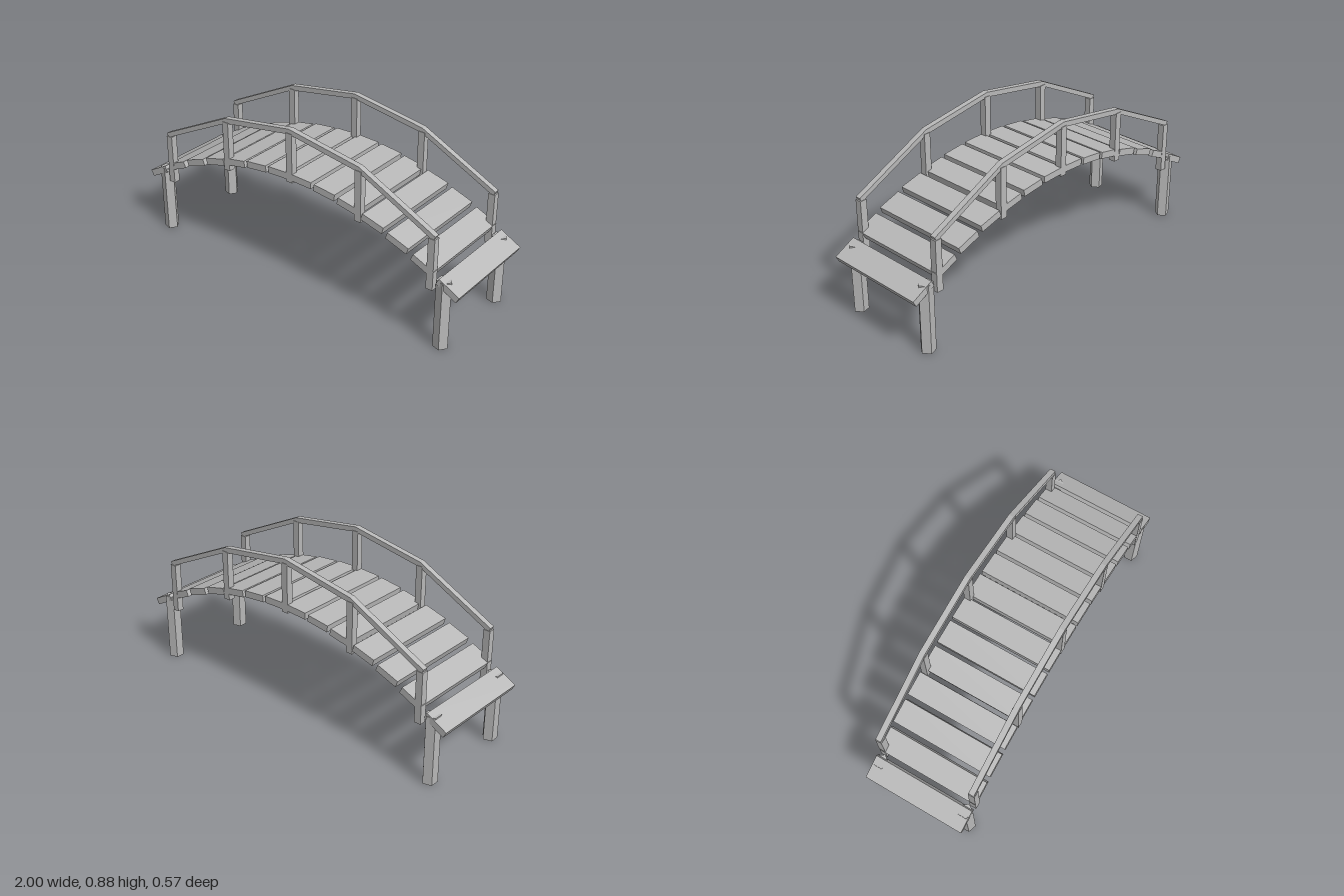
import * as THREE from 'three';

const wood = new THREE.MeshStandardMaterial({ color: 0xb8b8b8, flatShading: true });
wood.name = 'plain grey';

export function createModel() {
  const bridge = new THREE.Group();
  bridge.name = 'archedFootbridge';

  function add(name, geometry, x, y, z) {
    const mesh = new THREE.Mesh(geometry, wood);
    mesh.name = name;
    mesh.position.set(x, y, z);
    bridge.add(mesh);
    return mesh;
  }

  // Deck: planks along a parabola, each tilted a little less than the slope
  const plank = new THREE.BoxGeometry(0.127, 0.036, 0.558);
  for (let i = 0; i < 14; i++) {
    const x = (i - 6.5) * 0.1437;
    const y = 0.622 - 0.318 * x * x;
    add('plank', plank, x, y, 0).rotation.z = -THREE.MathUtils.degToRad(30 * x);
  }

  // Five-sided legs with one corner towards +x
  const leg = new THREE.CylinderGeometry(0.0394, 0.0394, 0.374, 5, 1, false, Math.PI / 2);
  for (const x of [-0.898, 0.897]) {
    for (const z of [-0.247, 0.247]) add('leg', leg, x, 0.187, z);
  }

  // Handrail outline: mitred bars running from post to post
  const top = [[-0.853, 0.601], [-0.42, 0.814], [0, 0.881], [0.42, 0.814], [0.853, 0.601]];
  const under = [[0.843, 0.577], [0.42, 0.786], [0, 0.854], [-0.42, 0.786], [-0.843, 0.577]];
  const outline = new THREE.Shape([...top, ...under].map(([x, y]) => new THREE.Vector2(x, y)));
  const rail = new THREE.ExtrudeGeometry(outline, { depth: 0.03, bevelEnabled: false });
  rail.translate(0, 0, -0.015);

  // Railings on both sides: posts given as [x, foot height, top height]
  const posts = [[-0.835, 0.312, 0.585], [-0.418, 0.522, 0.793], [0, 0.592, 0.858],
    [0.418, 0.522, 0.793], [0.835, 0.312, 0.585]];
  for (const side of [-1, 1]) {
    const z = side * 0.262;
    add('handrail', rail, 0, 0, z);
    for (const [x, foot, head] of posts) {
      add('railPost', new THREE.BoxGeometry(0.037, head - foot, 0.036), x, (foot + head) / 2, z);
    }
  }
  return bridge;
}
